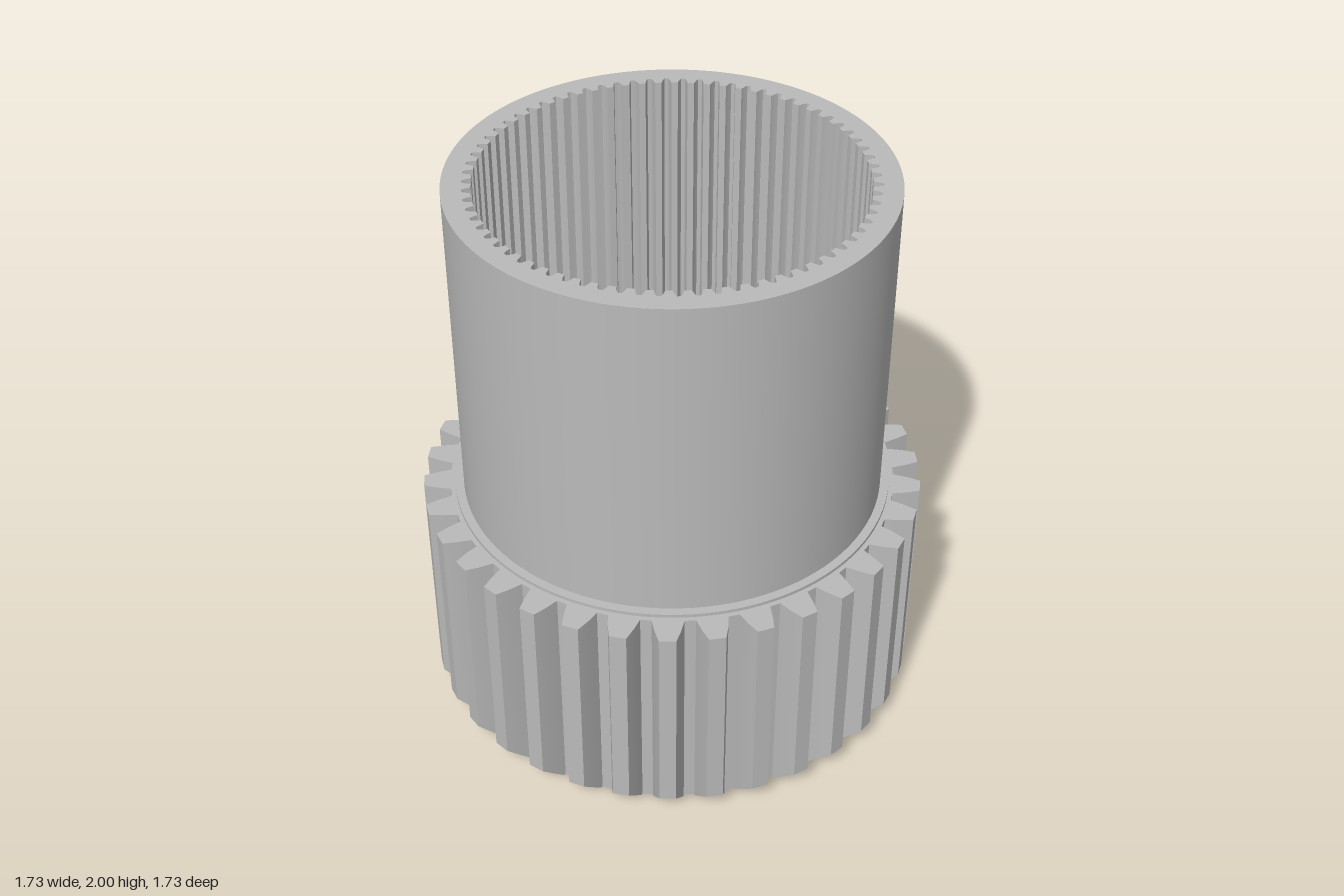
import * as THREE from 'three';
import { toCreasedNormals } from 'three/addons/utils/BufferGeometryUtils.js';

const TEETH = 34, SPLINES = 72;
const ROOT = 0.773, TIP = 0.866, TUBE = 0.727;
const GEAR_TOP = 0.825, CHAMFER_R = 0.78;

const polar = (r, a) => new THREE.Vector2(r * Math.cos(a), r * Math.sin(a));

const circle = (r, n = 144) =>
  Array.from({ length: n }, (_, i) => polar(r, (i / n) * Math.PI * 2));

// Half angle of a gear tooth at radius r (slightly convex flank)
function toothHalfAngle(r) {
  const t = (r - ROOT) / (TIP - ROOT);
  return (0.053 - 0.016 * t - 0.009 * t * t) / r;
}

// Repeats a symmetric profile of [radius, half angle] pairs, one tooth centred on +y
function toothedOutline(count, profile) {
  const pts = [];
  for (let i = 0; i < count; i++) {
    const c = Math.PI / 2 + (i / count) * Math.PI * 2;
    for (const [r, h] of profile) pts.push(polar(r, c - h));
    for (const [r, h] of [...profile].reverse()) pts.push(polar(r, c + h));
  }
  return pts;
}

function extrude(outer, hole, depth, steps = 1) {
  const shape = new THREE.Shape(outer);
  shape.holes.push(new THREE.Path(hole));
  return new THREE.ExtrudeGeometry(shape, { depth, steps, bevelEnabled: false });
}

// Gear ring: the lower ends of the teeth are turned down to a 45 degree chamfer
function gearGeometry() {
  const profile = [ROOT, 0.82, TIP].map((r) => [r, toothHalfAngle(r)]);
  const geo = extrude(toothedOutline(TEETH, profile), circle(TUBE), GEAR_TOP, 3);
  const levels = [0, 0.04, TIP - CHAMFER_R, GEAR_TOP];
  const pitch = (Math.PI * 2) / TEETH;
  const p = geo.attributes.position;
  for (let i = 0; i < p.count; i++) {
    const x = p.getX(i), y = p.getY(i);
    const z = levels[Math.round((p.getZ(i) / GEAR_TOP) * 3)];
    const rMax = CHAMFER_R + z;
    p.setZ(i, z);
    if (Math.hypot(x, y) > rMax + 1e-5) {
      const a = Math.atan2(y, x);
      const centre = Math.PI / 2 + Math.round((a - Math.PI / 2) / pitch) * pitch;
      const v = polar(rMax, centre + Math.sign(a - centre) * toothHalfAngle(rMax));
      p.setXY(i, v.x, v.y);
    }
  }
  return geo;
}

export function createModel() {
  const group = new THREE.Group();
  const steel = new THREE.MeshStandardMaterial({ color: 0xbababa });
  steel.name = 'steel grey';

  function add(name, geo, y = 0) {
    geo.rotateX(-Math.PI / 2);
    const mesh = new THREE.Mesh(toCreasedNormals(geo, 0.2), steel);
    mesh.name = name;
    mesh.position.y = y;
    group.add(mesh);
  }

  // Sleeve with fine internal splines along the whole bore
  const grooves = toothedOutline(SPLINES, [
    [0.632, 0.0165 / 0.632],
    [0.648, 0.0125 / 0.648],
    [0.661, 0.0065 / 0.661],
  ]);
  add('splinedSleeve', extrude(circle(TUBE), grooves, 2));

  // External gear round the foot of the sleeve
  add('gearRing', gearGeometry());

  // Low shoulder on top of the gear
  add('shoulder', extrude(circle(0.757), circle(TUBE), 0.012), GEAR_TOP);

  return group;
}
